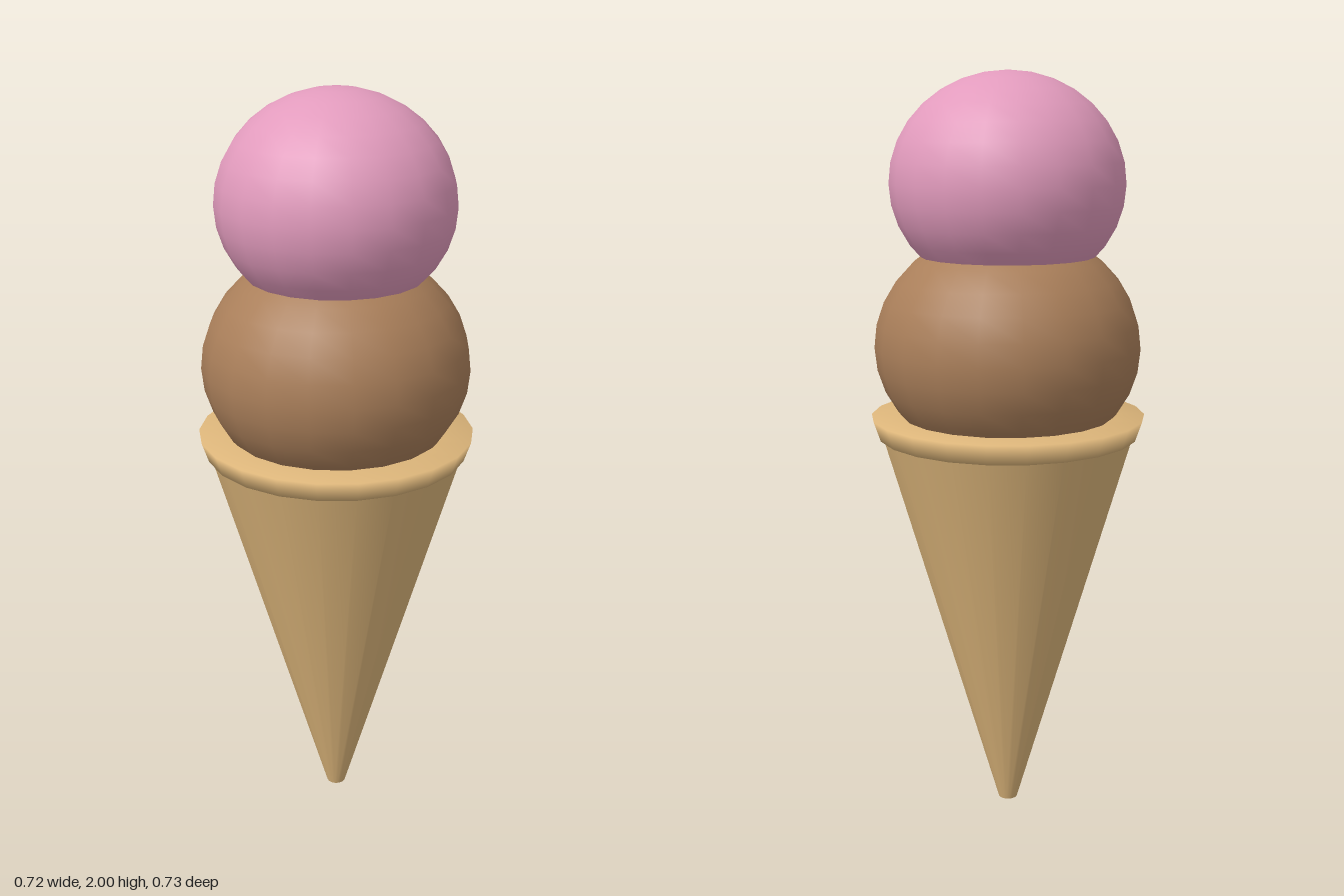
import * as THREE from 'three';

const flat = (name, color) => {
  const m = new THREE.MeshStandardMaterial({ color });
  m.name = name;
  return m;
};

export function createModel() {
  const wafer = flat('wafer', 0xdcb57a);
  const chocolate = flat('chocolate', 0xaa7f5a);
  const strawberry = flat('strawberry', 0xe29bbd);
  const group = new THREE.Group();
  group.name = 'iceCreamCone';

  const add = (name, geometry, material) => {
    const mesh = new THREE.Mesh(geometry, material);
    mesh.name = name;
    group.add(mesh);
    return mesh;
  };

  // Turned part from [radius, height] pairs, listed bottom to top
  const turned = (name, points, material) =>
    add(name, new THREE.LatheGeometry(points.map(([r, y]) => new THREE.Vector2(r, y)), 22), material);

  // Slightly squashed ball
  const scoop = (name, radius, halfHeight, y, material) => {
    const geometry = new THREE.SphereGeometry(radius, 20, 16);
    geometry.scale(1, halfHeight / radius, 1);
    add(name, geometry, material).position.y = y;
  };

  // Tapered wafer with a small blunt tip
  add('cone', new THREE.CylinderGeometry(0.338, 0.026, 1.07, 22), wafer).position.y = 0.535;

  // Flared lip with softly shaded edges
  turned('rim', [[0.31, 1.062], [0.345, 1.062], [0.363, 1.115], [0.2, 1.115]], wafer);

  scoop('lowerScoop', 0.35, 0.31, 1.3, chocolate);
  scoop('upperScoop', 0.305, 0.28, 1.72, strawberry);
  return group;
}
